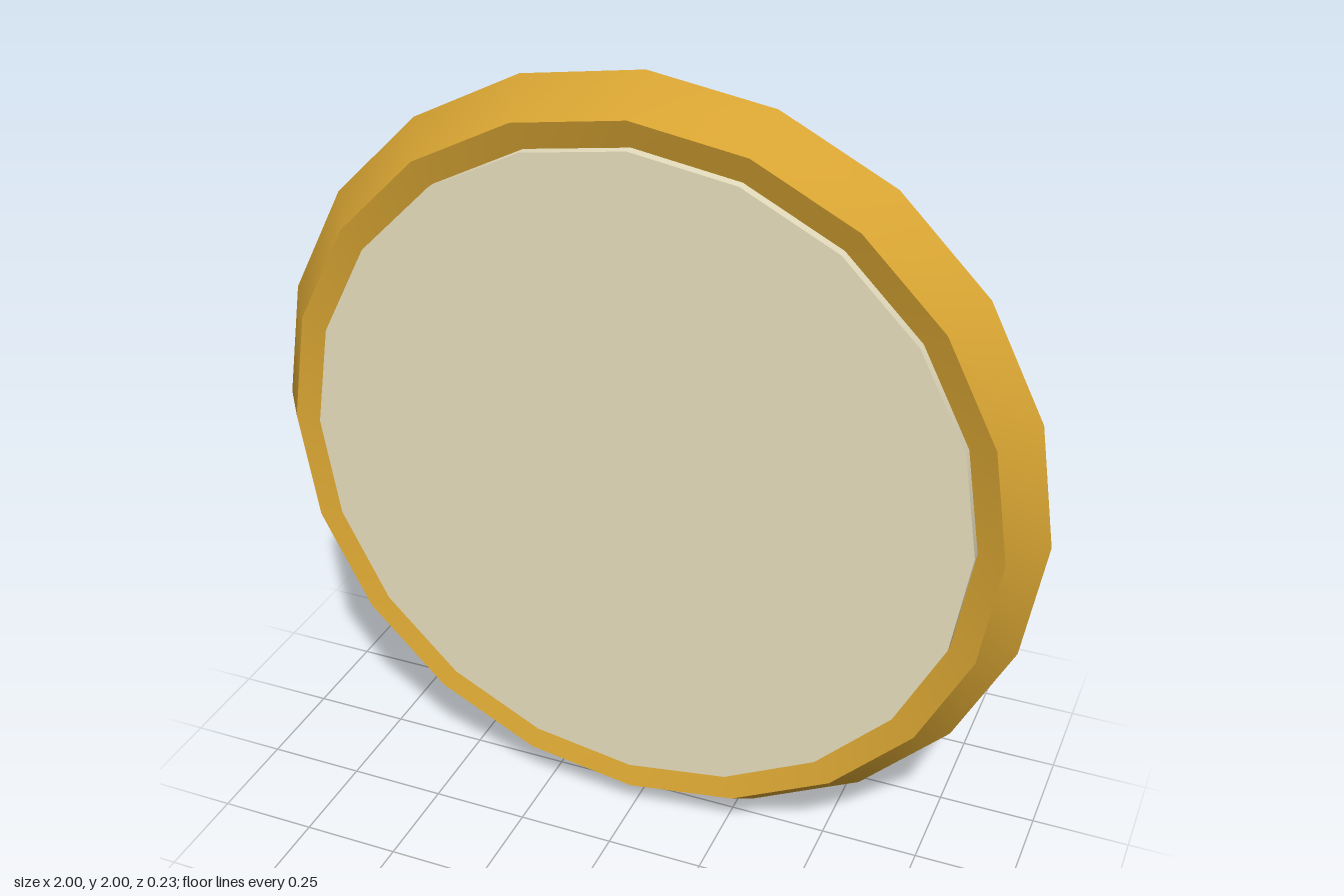
import * as THREE from 'three';
import { toCreasedNormals } from 'three/addons/utils/BufferGeometryUtils.js';

const SIDES = 20;
const CREASE = Math.PI / 5;

export function createModel() {
  const gold = new THREE.MeshStandardMaterial({ color: 0xd6a332 });
  gold.name = 'gold';
  const ivory = new THREE.MeshStandardMaterial({ color: 0xe8dfbf });
  ivory.name = 'ivory';

  const model = new THREE.Group();
  model.name = 'framedDisc';

  const add = (name, geometry, material) => {
    const mesh = new THREE.Mesh(toCreasedNormals(geometry, CREASE), material);
    mesh.name = name;
    mesh.position.y = 1;
    model.add(mesh);
  };

  // Ring with a five-sided section, pointed outwards
  add('rim', new THREE.TorusGeometry(0.884, 0.116, 5, SIDES), gold);

  // Flat disc filling the ring, a hair thicker than it
  add('disc', new THREE.CylinderGeometry(0.85, 0.85, 0.226, SIDES).rotateX(Math.PI / 2), ivory);

  return model;
}
